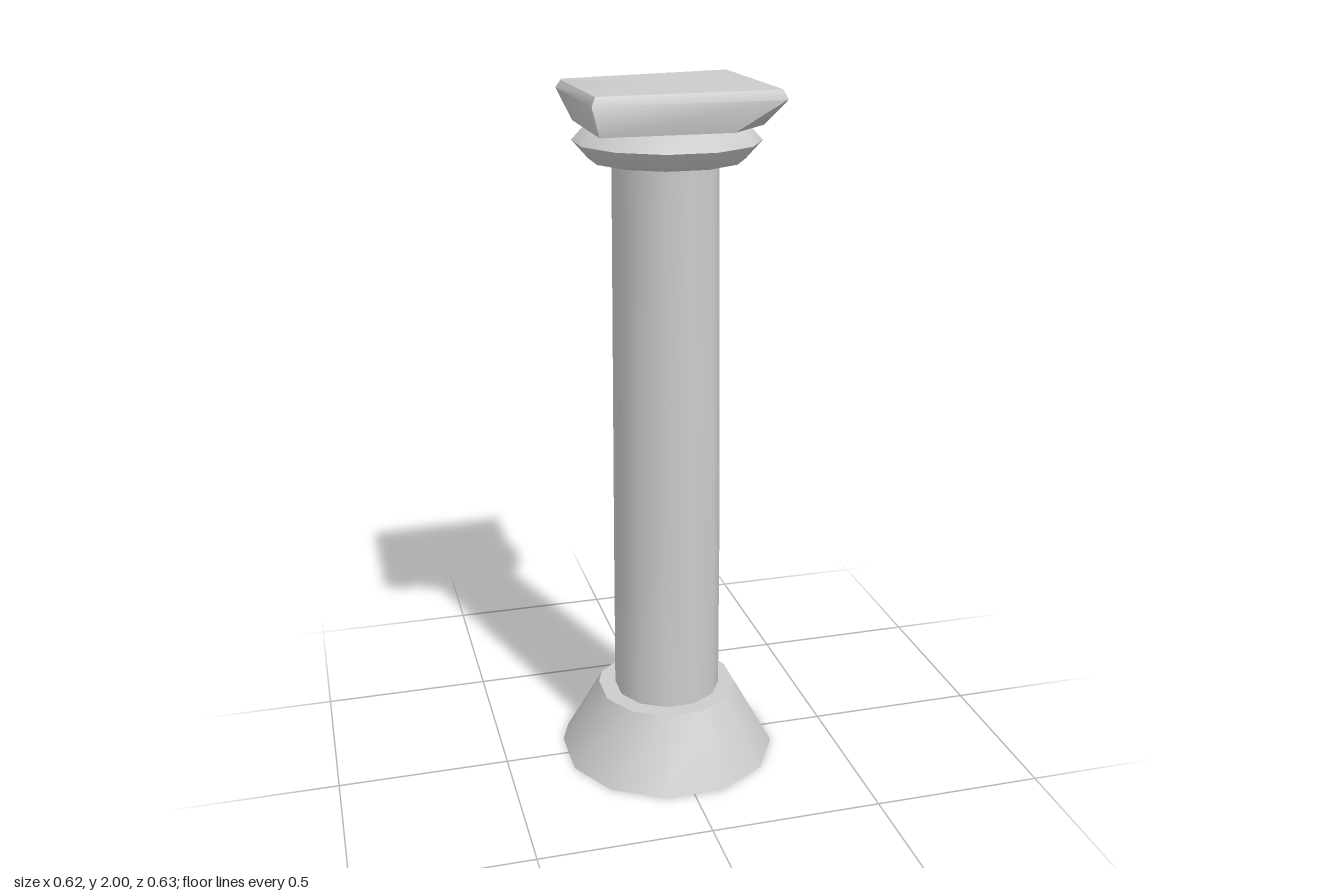
import * as THREE from 'three';
import { toCreasedNormals } from 'three/addons/utils/BufferGeometryUtils.js';

// Slightly irregular 13-sided outline, [x, z], half of it mirrored across x
const half = [[0.085, 0.315], [0.23, 0.23], [0.31, 0.09], [0.31, -0.08], [0.28, -0.16], [0.16, -0.275]];
const outline = [...half, [0, -0.32], ...half.map(([x, z]) => [-x, z]).reverse()];

// Ring of points from the outline, r = half width
const ring = (r, y, dx = 0) => outline.map(([x, z]) => [x * r / 0.31 + dx, y, z * r / 0.31]);

// Closed solid through cross-sections listed from bottom to top
function loft(name, sections, crease) {
  const n = sections[0].length;
  const pos = sections.flat(2);
  const idx = [];
  for (let s = 0; s < sections.length - 1; s++) {
    for (let i = 0; i < n; i++) {
      const a = s * n + i, b = s * n + (i + 1) % n;
      idx.push(a, b, b + n, a, b + n, a + n);
    }
  }
  // Caps as fans around the centre of the end sections
  [sections[0], sections[sections.length - 1]].forEach((sec, top) => {
    const c = pos.length / 3;
    const start = top ? (sections.length - 1) * n : 0;
    for (let k = 0; k < 3; k++) pos.push(sec.reduce((sum, p) => sum + p[k], 0) / n);
    for (let i = 0; i < n; i++) {
      const a = start + i, b = start + (i + 1) % n;
      if (top) idx.push(c, a, b);
      else idx.push(c, b, a);
    }
  });
  const g = new THREE.BufferGeometry();
  g.setAttribute('position', new THREE.Float32BufferAttribute(pos, 3));
  g.setIndex(idx);
  const mesh = new THREE.Mesh(toCreasedNormals(g, crease),
    new THREE.MeshStandardMaterial({ color: 0xcccccc }));
  mesh.name = name;
  return mesh;
}

export function createModel() {
  const column = new THREE.Group();
  column.name = 'column';

  // Flared foot
  column.add(loft('base', [ring(0.31, 0), ring(0.2, 0.205)], 0.9));

  // Tapering shaft
  column.add(loft('shaft', [ring(0.152, 0.19), ring(0.15, 0.7), ring(0.14, 1.82, -0.004)], 0.9));

  // Bulging collar under the slab
  column.add(loft('collar', [ring(0.205, 1.8), ring(0.248, 1.85), ring(0.203, 1.9)], 0.9));

  // Worn square slab with clipped lower corners and one chipped corner
  column.add(loft('topSlab', [
    [[0.12, 1.895, 0.23], [0.238, 1.895, 0.11], [0.238, 1.895, -0.24],
      [-0.11, 1.895, -0.24], [-0.235, 1.895, -0.11], [-0.235, 1.895, 0.23]],
    [[0.25, 1.975, 0.25], [0.258, 1.975, 0.24], [0.258, 1.985, -0.268],
      [-0.25, 1.965, -0.26], [-0.258, 1.97, -0.21], [-0.258, 1.975, 0.25]],
    [[0.238, 2, 0.236], [0.246, 2, 0.228], [0.246, 2, -0.258],
      [-0.235, 1.99, -0.245], [-0.244, 1.99, -0.2], [-0.246, 1.997, 0.236]],
  ], 0.9));

  return column;
}
